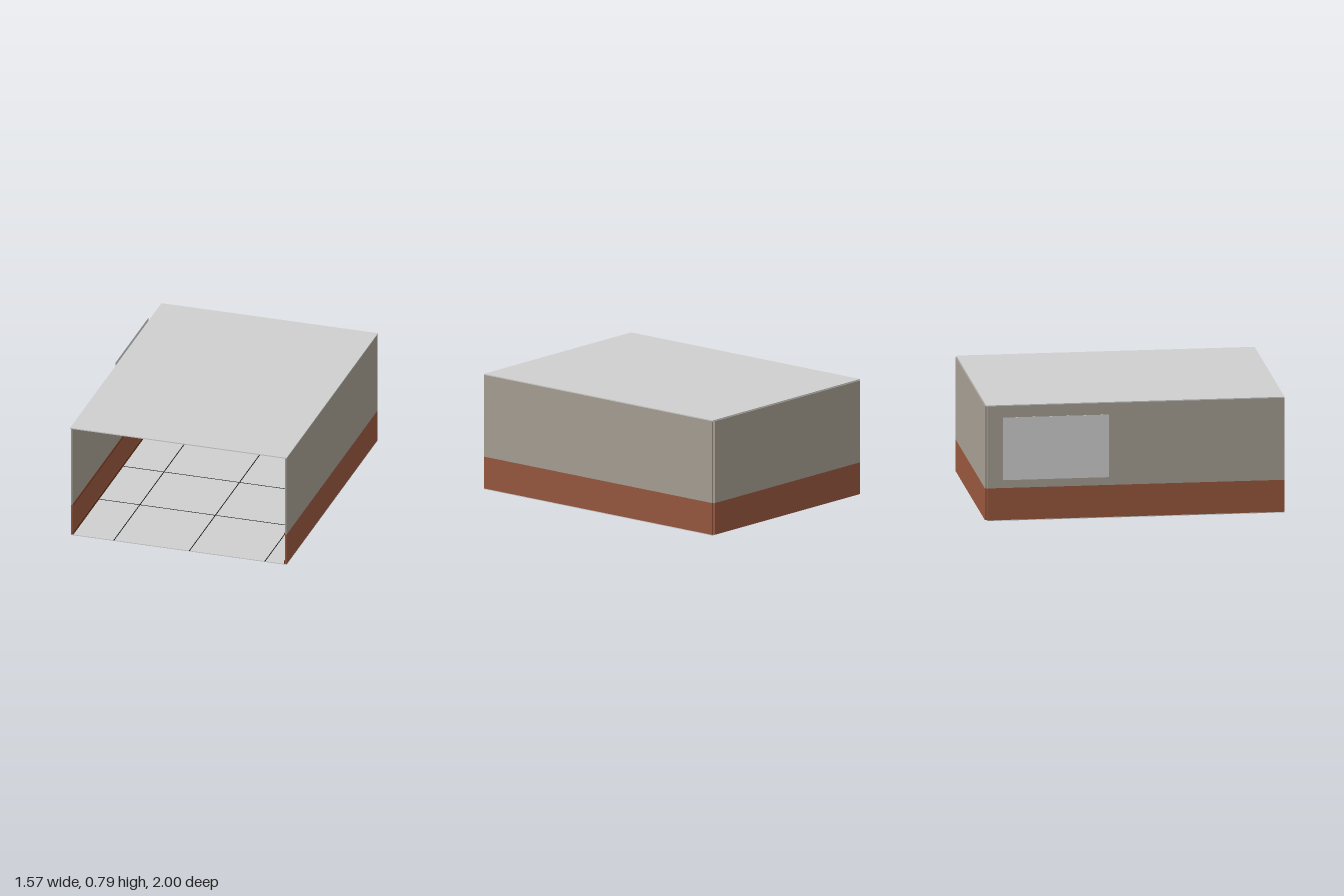
import * as THREE from 'three';

const paint = (name, color) => Object.assign(new THREE.MeshStandardMaterial({ color }), { name });

export function createModel() {
  const white = paint('white', 0xcfcfcf), beige = paint('beige', 0xa59e92), brick = paint('brick', 0x97573e);
  const steel = paint('blueSteel', 0x2b3a42), black = paint('black', 0x14191d), teal = paint('tealGlass', 0xabc9c3);
  const wood = paint('wood', 0x6b3a22), grey = paint('grey', 0x77777a);
  white.side = THREE.DoubleSide;
  const room = new THREE.Group();
  room.name = 'workshopRoom';

  // Helpers: group, box by limits, cylinder by centre, rod between two points
  const group = (name) => { const g = new THREE.Group(); g.name = name; room.add(g); return g; };
  const add = (g, name, geo, mat) => { const m = new THREE.Mesh(geo, mat); m.name = name; g.add(m); return m; };
  const box = (g, name, mat, x0, x1, y0, y1, z0, z1) => {
    const m = add(g, name, new THREE.BoxGeometry(x1 - x0, y1 - y0, z1 - z0), mat);
    m.position.set((x0 + x1) / 2, (y0 + y1) / 2, (z0 + z1) / 2);
    return m;
  };
  const cyl = (g, name, mat, r0, r1, h, x, y, z, facing = false) => {
    const m = add(g, name, new THREE.CylinderGeometry(r0, r1, h, 20), mat);
    m.position.set(x, y, z);
    if (facing) m.rotation.x = Math.PI / 2;
    return m;
  };
  const rod = (g, name, mat, a, b, r = 0.003) => {
    const p = new THREE.Vector3(...a), q = new THREE.Vector3(...b), d = q.clone().sub(p);
    const m = add(g, name, new THREE.CylinderGeometry(r, r, d.length(), 8), mat);
    m.position.copy(p).add(q).multiplyScalar(0.5);
    m.quaternion.setFromUnitVectors(new THREE.Vector3(0, 1, 0), d.normalize());
  };
  const ring = (g, name, mat, r, t, x, y, z) => add(g, name, new THREE.TorusGeometry(r, t, 6, 20), mat).position.set(x, y, z);
  const B = -0.985; // inner face of the back wall

  // Shell, open at the front
  const shell = group('shell');
  box(shell, 'floor', white, -0.72, 0.78, 0, 0.005, B, 1);
  box(shell, 'roof', white, -0.725, 0.78, 0.78, 0.787, -0.992, 1);
  box(shell, 'backWallLower', brick, -0.715, 0.768, 0.006, 0.222, -1, B);
  box(shell, 'backWallUpper', beige, -0.715, 0.768, 0.222, 0.78, -1, B);
  box(shell, 'rightWallLower', brick, 0.768, 0.78, 0.005, 0.222, B, 1);
  box(shell, 'rightWallUpper', beige, 0.768, 0.78, 0.222, 0.78, B, 1);
  box(shell, 'leftWallLower', brick, -0.72, -0.708, 0.005, 0.222, B, 1);
  [[0.222, 0.31, B, 1], [0.69, 0.78, B, 1], [0.31, 0.69, B, -0.875], [0.31, 0.69, -0.2, 1]]
    .forEach(([y0, y1, z0, z1]) => box(shell, 'leftWallUpper', beige, -0.72, -0.708, y0, y1, z0, z1));
  for (const x of [-0.42, 0.105, 0.63]) box(shell, 'floorJoint', black, x - 0.003, x + 0.003, 0.004, 0.006, B, 1);
  for (const z of [-0.615, -0.09, 0.435]) box(shell, 'floorJoint', black, -0.708, 0.768, 0.004, 0.006, z - 0.003, z + 0.003);
  for (const [y, h, m] of [[0.005, 0.02, wood], [0.218, 0.01, wood]]) {
    box(shell, 'backTrim', m, -0.708, 0.768, y, y + h, B, B + 0.008);
    for (const x of [-0.708, 0.762]) box(shell, 'sideTrim', m, x, x + 0.006, y, y + h, B, 1);
  }
  box(shell, 'ceilingBeam', steel, -0.706, 0.766, 0.74, 0.776, -0.8, -0.76);

  // Side window and the bright panel outside it
  const win = group('sideWindow');
  for (let i = 0; i <= 6; i++) {
    const z = -0.875 + i * 0.1125;
    box(win, 'mullion', black, -0.719, -0.709, 0.31, 0.69, z - 0.004, z + 0.004);
  }
  for (let i = 0; i <= 5; i++) {
    const y = 0.31 + i * 0.076;
    box(win, 'glazingBar', black, -0.718, -0.71, y - 0.004, y + 0.004, -0.875, -0.2);
  }
  box(win, 'windowSill', steel, -0.712, -0.685, 0.3, 0.308, -0.89, -0.18);
  box(win, 'outsidePanel', white, -0.786, -0.784, 0.29, 0.715, -0.89, -0.18);

  // Conduits and junction boxes
  const pipes = group('conduits');
  for (const y of [0.693, 0.71]) rod(pipes, 'conduit', steel, [-0.705, y, B + 0.01], [0.765, y, B + 0.01]);
  for (const x of [-0.565, -0.02, 0.313, 0.632]) box(pipes, 'junctionBox', steel, x - 0.018, x + 0.018, 0.682, 0.717, B, B + 0.025);
  for (const x of [0.309, 0.318]) rod(pipes, 'drop', steel, [x, 0.69, B + 0.01], [x, 0.05, B + 0.01], 0.002);
  rod(pipes, 'drop', steel, [-0.7, 0.7, B + 0.01], [-0.7, 0.3, B + 0.01]);
  box(pipes, 'socket', black, 0.313, 0.336, 0.04, 0.1, B, B + 0.02);

  // Pendant lamps
  for (const [x, y, z] of [[-0.374, 0.632, -0.7], [0.116, 0.694, -0.5], [0.527, 0.65, -0.7]]) {
    const lamp = group('pendantLamp');
    rod(lamp, 'cord', black, [x, y + 0.03, z], [x, 0.78, z], 0.002);
    add(lamp, 'shade', new THREE.ConeGeometry(0.046, 0.035, 24), beige).position.set(x, y + 0.0175, z);
    cyl(lamp, 'cap', steel, 0.008, 0.01, 0.012, x, y + 0.035, z);
  }

  // Framed boards on the back wall
  const board = (name, x0, x1, y0, y1) => {
    const g = group(name);
    box(g, 'frame', wood, x0, x1, y0, y1, B, B + 0.012);
    box(g, 'face', white, x0 + 0.007, x1 - 0.007, y0 + 0.007, y1 - 0.007, B + 0.011, B + 0.014);
    return g;
  };
  const pins = board('pinboard', -0.667, -0.45, 0.32, 0.563);
  for (const [x, y] of [[-0.6, 0.535], [-0.51, 0.525], [-0.605, 0.43], [-0.52, 0.4], [-0.605, 0.385]])
    cyl(pins, 'pin', brick, 0.004, 0.004, 0.006, x, y, B + 0.016, true);
  board('picture', 0.35, 0.556, 0.53, 0.672);
  board('picture', 0.577, 0.694, 0.6, 0.705);
  board('picture', 0.577, 0.694, 0.492, 0.584);
  const peg = board('toolBoard', -0.44, -0.14, 0.315, 0.643);
  box(group('lightRail'), 'rail', black, -0.66, -0.127, 0.657, 0.672, B, B + 0.05);
  const T = B + 0.014;
  for (let i = 0; i < 6; i++) {
    const x = -0.41 + i * 0.021, y = 0.55 + i * 0.008;
    box(peg, 'spanner', i % 2 ? grey : teal, x - 0.002, x + 0.002, y, 0.61, T, T + 0.005);
    ring(peg, 'spannerEnd', grey, 0.005, 0.002, x, 0.613, T + 0.003);
    const s = -0.273 + i * 0.015;
    box(peg, 'driverHandle', i % 2 ? brick : steel, s - 0.004, s + 0.004, 0.573, 0.597, T, T + 0.009);
    box(peg, 'driverShaft', grey, s - 0.001, s + 0.001, 0.553, 0.573, T, T + 0.004);
  }
  for (const s of [-1, 1]) rod(peg, 'plierHandle', brick, [-0.175 + s * 0.01, 0.505, T + 0.004], [-0.175 - s * 0.006, 0.565, T + 0.004]);
  box(peg, 'hammerHandle', grey, -0.384, -0.376, 0.425, 0.48, T, T + 0.009);
  box(peg, 'hammerHead', steel, -0.397, -0.363, 0.48, 0.495, T, T + 0.015);
  for (const [x, m] of [[-0.255, black], [-0.225, wood], [-0.178, grey]]) ring(peg, 'tapeRoll', m, 0.012, 0.004, x, 0.466, T + 0.005);
  box(peg, 'square', teal, -0.335, -0.328, 0.435, 0.5, T, T + 0.004);
  box(peg, 'square', teal, -0.335, -0.27, 0.435, 0.443, T, T + 0.004);

  // Drawer cabinet, shared by the bench and the trolley
  const drawers = (name, x0, x1, y0, y1, z1, handle) => {
    const g = group(name), h = (y1 - y0) / 4;
    box(g, 'case', steel, x0, x1, y0, y1, z1 - 0.2, z1);
    for (let i = 0; i < 4; i++) {
      const y = y0 + i * h, c = (x0 + x1) / 2, w = handle === white ? 0.025 : 0.07;
      box(g, 'gap', black, x0 + 0.005, x1 - 0.005, y, y + 0.004, z1, z1 + 0.002);
      box(g, 'drawerFront', steel, x0 + 0.008, x1 - 0.008, y + 0.005, y + h - 0.003, z1, z1 + 0.006);
      box(g, 'handle', handle, c - w, c + w, y + h * 0.55, y + h * 0.75, z1 + 0.006, z1 + 0.014);
    }
    return g;
  };

  // Workbench
  const bench = group('workbench');
  box(bench, 'benchTop', white, -0.667, -0.11, 0.247, 0.268, -0.975, -0.7);
  box(bench, 'apron', steel, -0.655, -0.125, 0.232, 0.247, -0.965, -0.715);
  box(bench, 'lowerShelf', steel, -0.655, -0.33, 0.104, 0.113, -0.965, -0.72);
  for (const x of [-0.657, -0.135]) for (const z of [-0.965, -0.73]) box(bench, 'benchLeg', steel, x, x + 0.016, 0.005, 0.247, z, z + 0.016);
  for (const x of [-0.645, -0.562, -0.478]) box(bench, 'storageBox', white, x, x + 0.068, 0.113, 0.165, -0.93, -0.76);
  drawers('benchDrawers', -0.33, -0.137, 0.025, 0.238, -0.715, white);
  box(bench, 'radio', black, -0.635, -0.585, 0.268, 0.293, -0.88, -0.84);
  box(bench, 'radioTop', steel, -0.625, -0.595, 0.293, 0.31, -0.87, -0.85);
  cyl(bench, 'wireSpool', black, 0.017, 0.017, 0.03, -0.51, 0.285, -0.82, true);
  box(bench, 'vise', steel, -0.54, -0.47, 0.268, 0.28, -0.85, -0.79);
  cyl(bench, 'mug', brick, 0.012, 0.012, 0.028, -0.45, 0.282, -0.8);
  box(bench, 'toolBox', wood, -0.215, -0.15, 0.268, 0.288, -0.9, -0.83);
  for (let i = 0; i < 4; i++) rod(bench, 'brush', i % 2 ? wood : grey, [-0.18 + i * 0.008, 0.285, -0.86], [-0.185 + i * 0.011, 0.315, -0.86], 0.002);

  // Desk lamp
  const desk = group('deskLamp');
  cyl(desk, 'lampBase', black, 0.028, 0.03, 0.01, -0.28, 0.273, -0.83);
  rod(desk, 'lowerArm', black, [-0.285, 0.275, -0.83], [-0.302, 0.325, -0.83]);
  rod(desk, 'upperArm', black, [-0.302, 0.325, -0.83], [-0.265, 0.37, -0.83]);
  cyl(desk, 'lampHead', black, 0.006, 0.018, 0.025, -0.265, 0.365, -0.82).rotation.x = -0.5;
  for (const y of [0.382, 0.41]) rod(desk, 'magnifierFrame', black, [-0.298, y, -0.85], [-0.188, y, -0.85], 0.002);
  for (const x of [-0.298, -0.188]) rod(desk, 'magnifierSide', black, [x, 0.382, -0.85], [x, 0.41, -0.85], 0.002);

  // Stool
  const stool = group('stool');
  cyl(stool, 'seat', grey, 0.045, 0.045, 0.014, -0.39, 0.2, -0.6);
  for (let i = 0; i < 4; i++) {
    const a = Math.PI / 4 + i * Math.PI / 2, c = Math.cos(a), s = Math.sin(a);
    rod(stool, 'stoolLeg', black, [-0.39 + c * 0.035, 0.195, -0.6 + s * 0.035], [-0.39 + c * 0.06, 0.005, -0.6 + s * 0.06], 0.005);
  }
  ring(stool, 'footRing', black, 0.05, 0.003, -0.39, 0.07, -0.6);
  stool.children.at(-1).rotation.x = Math.PI / 2;

  // Large glazed machine
  const mach = group('machine'), F = -0.7;
  box(mach, 'body', steel, -0.076, 0.312, 0.02, 0.545, -0.97, F);
  box(mach, 'plinth', black, -0.07, 0.305, 0.005, 0.02, -0.96, F - 0.01);
  box(mach, 'topCap', steel, -0.08, 0.315, 0.541, 0.551, -0.975, F + 0.008);
  box(mach, 'headerPanel', wood, -0.062, 0.3, 0.5, 0.54, F, F + 0.006);
  box(mach, 'headerPlate', white, -0.055, 0.292, 0.51, 0.534, F + 0.006, F + 0.01);
  box(mach, 'windowFrame', wood, -0.068, 0.208, 0.195, 0.493, F, F + 0.006);
  box(mach, 'windowGlass', teal, -0.063, 0.203, 0.2, 0.488, F + 0.006, F + 0.01);
  for (const y of [0.215, 0.335, 0.45]) box(mach, 'hinge', grey, -0.08, -0.066, y, y + 0.028, F, F + 0.012);
  box(mach, 'doorHandle', wood, 0.205, 0.215, 0.31, 0.38, F, F + 0.02);
  box(mach, 'drawerEdge', wood, -0.06, 0.205, 0.04, 0.18, F, F + 0.003);
  box(mach, 'lowerDrawer', steel, -0.056, 0.201, 0.044, 0.176, F, F + 0.008);
  box(mach, 'drawerPull', white, 0.04, 0.105, 0.17, 0.18, F + 0.008, F + 0.016);
  box(mach, 'screen', white, 0.221, 0.296, 0.437, 0.483, F, F + 0.008);
  for (const y of [0.4, 0.353, 0.303, 0.256]) {
    cyl(mach, 'knob', brick, 0.013, 0.013, 0.016, 0.238, y, F + 0.008, true);
    box(mach, 'label', white, 0.262, 0.296, y - 0.012, y + 0.012, F, F + 0.005);
  }
  box(mach, 'switchPlate', brick, 0.221, 0.296, 0.193, 0.232, F, F + 0.007);
  box(mach, 'slotPlate', white, 0.221, 0.296, 0.135, 0.16, F, F + 0.007);
  box(mach, 'grille', black, 0.221, 0.296, 0.042, 0.12, F, F + 0.004);
  for (let i = 0; i < 5; i++) box(mach, 'slat', steel, 0.228, 0.289, 0.05 + i * 0.014, 0.055 + i * 0.014, F + 0.004, F + 0.007);

  // Shelving unit
  const rack = group('shelving');
  for (const x of [0.346, 0.538, 0.735]) for (const z of [-0.97, -0.81])
    box(rack, 'post', steel, x, x + 0.012, 0.005, 0.43, z, z + 0.012);
  for (const y of [0.059, 0.17, 0.288, 0.409]) box(rack, 'shelf', steel, 0.346, 0.747, y, y + 0.01, -0.97, -0.798);
  for (const x of [0.36, 0.395, 0.63, 0.667, 0.703]) box(rack, 'binder', white, x, x + 0.031, 0.069, 0.148, -0.95, -0.82);
  for (let i = 0; i < 6; i++) box(rack, 'book', [white, white, brick][i % 3], 0.618 + i * 0.017, 0.633 + i * 0.017, 0.298, 0.38, -0.95, -0.83);
  for (let i = 0; i < 3; i++) box(rack, 'smallBox', white, 0.362, 0.416, 0.181 + i * 0.027, 0.205 + i * 0.027, -0.94, -0.82);
  for (const x of [0.64, 0.683]) {
    cyl(rack, 'bottle', brick, 0.017, 0.017, 0.045, x, 0.203, -0.87);
    cyl(rack, 'bottleNeck', wood, 0.005, 0.014, 0.018, x, 0.234, -0.87);
  }
  ring(rack, 'fanRing', grey, 0.026, 0.003, 0.557, 0.325, -0.86);
  box(rack, 'printerBase', steel, 0.373, 0.513, 0.298, 0.315, -0.94, -0.83);
  for (const x of [0.373, 0.505]) box(rack, 'printerPost', black, x, x + 0.008, 0.315, 0.4, -0.9, -0.89);
  box(rack, 'printerRail', black, 0.373, 0.513, 0.39, 0.4, -0.9, -0.89);
  box(rack, 'printerBed', white, 0.39, 0.495, 0.316, 0.322, -0.94, -0.84);
  box(rack, 'printHead', black, 0.448, 0.475, 0.345, 0.37, -0.9, -0.87);
  add(rack, 'globe', new THREE.SphereGeometry(0.033, 24, 16), steel).position.set(0.592, 0.461, -0.88);
  ring(rack, 'globeArm', wood, 0.036, 0.003, 0.592, 0.461, -0.88);
  cyl(rack, 'globeFoot', wood, 0.006, 0.022, 0.01, 0.592, 0.424, -0.88);
  for (const [x, y, s] of [[0.455, 0.455, 1], [0.69, 0.435, 0.7]]) {
    rod(rack, 'planeStand', black, [x, 0.419, -0.88], [x, y, -0.88], 0.002);
    rod(rack, 'planeBody', white, [x - 0.055 * s, y - 0.003, -0.88], [x + 0.055 * s, y + 0.01, -0.88], 0.006 * s);
    box(rack, 'planeWing', grey, x - 0.012, x + 0.012, y, y + 0.004, -0.94, -0.82);
    box(rack, 'planeTail', grey, x + 0.045 * s, x + 0.055 * s, y + 0.005, y + 0.025 * s, -0.882, -0.878);
  }

  // Drawer trolley with a laptop
  const cart = drawers('trolley', 0.422, 0.62, 0.035, 0.247, -0.62, grey);
  box(cart, 'trolleyTop', beige, 0.418, 0.624, 0.247, 0.257, -0.825, -0.612);
  for (const x of [0.435, 0.605]) for (const z of [-0.8, -0.64]) cyl(cart, 'foot', black, 0.008, 0.006, 0.031, x, 0.02, z);
  box(cart, 'laptopBase', black, 0.445, 0.53, 0.257, 0.263, -0.74, -0.67);
  box(cart, 'laptopScreen', steel, 0.445, 0.53, 0.263, 0.287, -0.745, -0.74);
  return room;
}
